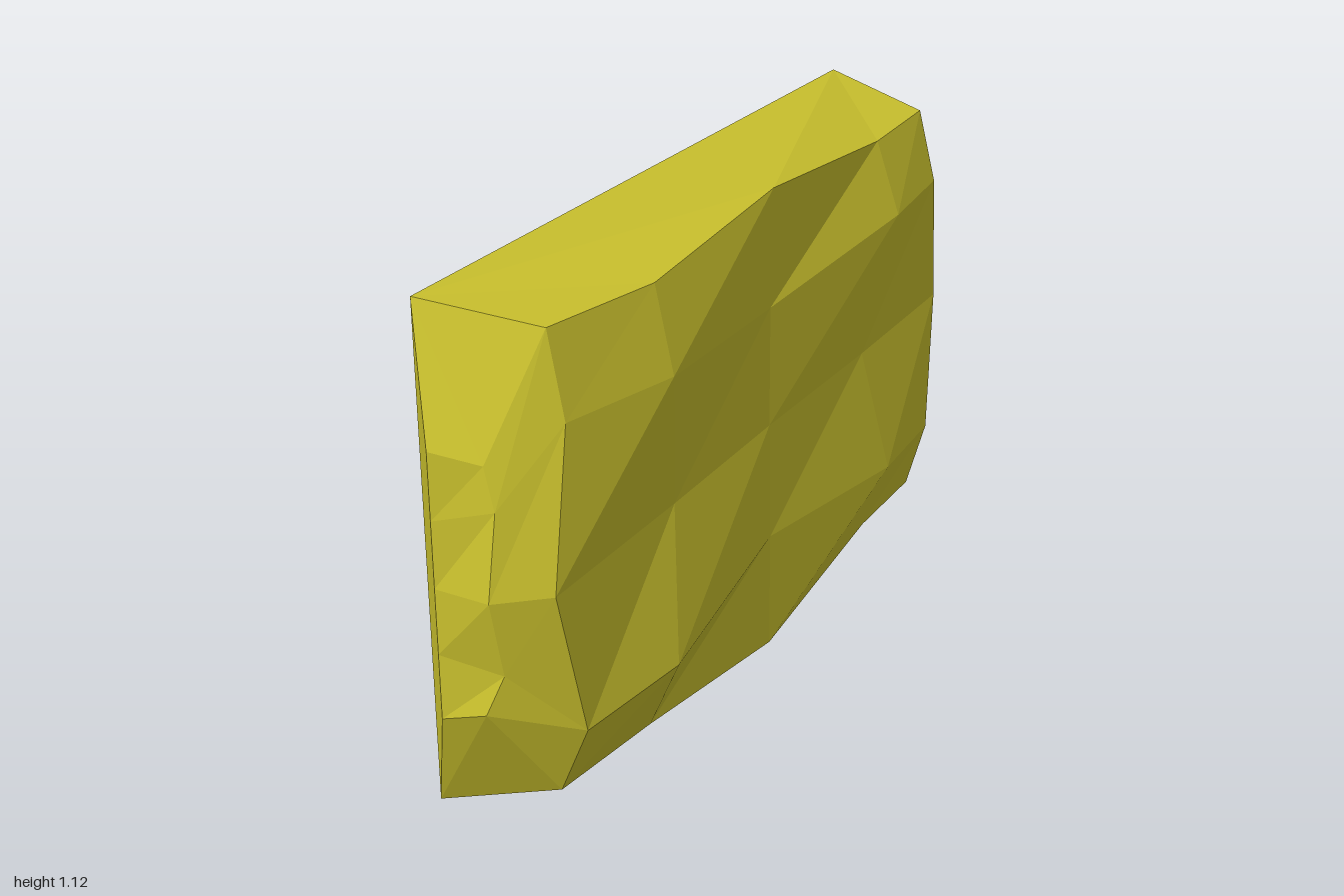
import * as THREE from 'three';

export function createModel() {
  const yellow = new THREE.MeshStandardMaterial({ color: 0xc8bf2d });
  yellow.name = 'olive yellow';
  yellow.flatShading = true;

  // Bulged cross-sections from bottom to top: end rim, five face points, end rim
  const bulge = [
    [[0, 0.3, 0.99], [0.07, 0.06, 0.835], [0.105, 0.06, 0.53], [0.125, 0, 0], [0.11, 0.06, -0.56], [0.1, 0.05, -0.86], [0.05, 0.25, -0.95]],
    [[0.03, 0.385, 0.965], [0.14, 0.225, 0.84], [0.18, 0.23, 0.535], [0.125, 0.28, 0], [0.17, 0.23, -0.57], [0.145, 0.22, -0.87], [0.06, 0.4, -0.965]],
    [[0.025, 0.56, 1], [0.123, 0.56, 0.915], [0.125, 0.56, 0.45], [0.12, 0.56, 0], [0.125, 0.56, -0.49], [0.12, 0.56, -0.95], [0.06, 0.56, -1]],
    [[0.025, 0.74, 0.965], [0.11, 0.895, 0.84], [0.175, 0.89, 0.535], [0.12, 0.845, 0], [0.175, 0.9, -0.57], [0.145, 0.9, -0.86], [0.06, 0.72, -0.965]],
    [[0, 0.83, 0.96], [0.07, 1.08, 0.835], [0.13, 1.08, 0.53], [0.125, 1.123, 0], [0.115, 1.075, -0.57], [0.1, 1.075, -0.86], [0.06, 0.83, -0.94]],
  ];

  // Add the flat back edge and the straight strip at each end
  const mix = THREE.MathUtils.lerp;
  const rows = bulge.map((points, i) => {
    const t = i / 4;
    return [
      [-0.182, mix(0.003, 1.123, t), 0.91], [-0.1, mix(0.27, 0.855, t), 1],
      ...points,
      [-0.09, mix(0.18, 0.95, t), -1], [-0.182, mix(0.003, 1.123, t), -0.95],
    ];
  });

  const positions = [];
  const tri = (a, b, c) => positions.push(...a, ...b, ...c);
  const quad = (a, b, c, d) => { tri(a, b, c); tri(a, c, d); };

  // Wrap around the ends and the bulged face
  const last = rows[0].length - 1;
  for (let i = 0; i < 4; i++) {
    for (let j = 0; j < last; j++) {
      quad(rows[i][j], rows[i][j + 1], rows[i + 1][j + 1], rows[i + 1][j]);
    }
  }

  // Top and bottom, fanned from the two back corners to the middle
  const mid = last / 2;
  const cap = (row, emit) => {
    for (let j = 1; j < mid; j++) emit(row[0], row[j], row[j + 1]);
    for (let j = mid; j < last - 1; j++) emit(row[last], row[j], row[j + 1]);
    emit(row[0], row[mid], row[last]);
  };
  cap(rows[4], tri);
  cap(rows[0], (a, b, c) => tri(a, c, b));

  // Flat back
  quad(rows[0][last], rows[0][0], rows[4][0], rows[4][last]);

  const geometry = new THREE.BufferGeometry();
  geometry.setAttribute('position', new THREE.Float32BufferAttribute(positions, 3));
  geometry.computeVertexNormals();

  const pad = new THREE.Mesh(geometry, yellow);
  pad.name = 'facetedPad';
  const model = new THREE.Group();
  model.name = 'pad';
  model.add(pad);
  return model;
}
